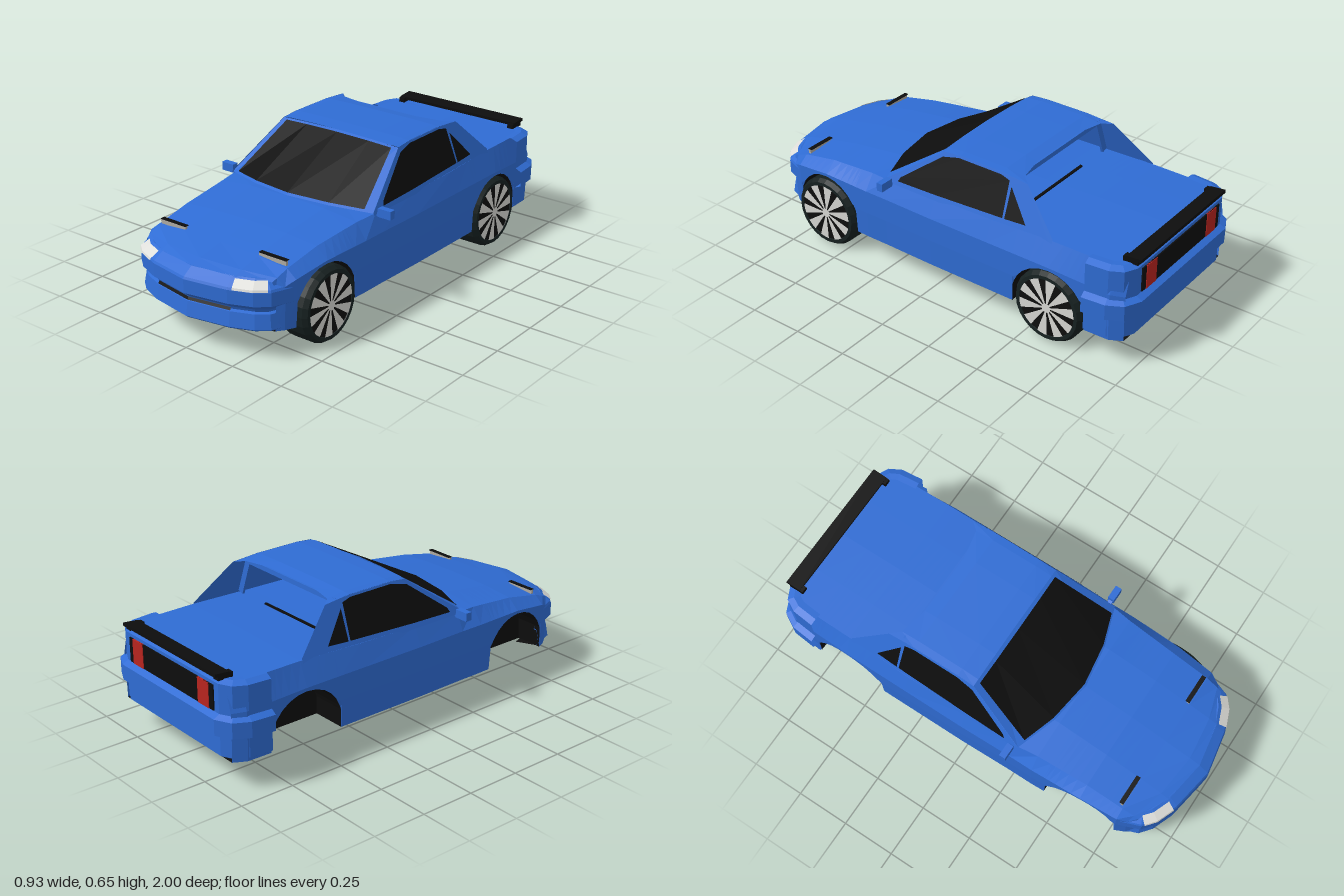
import * as THREE from 'three';

const mat = (name, color) => Object.assign(
  new THREE.MeshStandardMaterial({ color, flatShading: true, side: THREE.DoubleSide }), { name });
const paint = mat('blue paint', 0x2f6cd4), black = mat('black trim', 0x0d0d0d), rubber = mat('tyre rubber', 0x162020);
const silver = mat('rim silver', 0xd6d6d2), lens = mat('headlight lens', 0xdededa), grey = mat('popup lens', 0xaeaaa2);
const red = mat('tail light red', 0xb8241f), amber = mat('indicator amber', 0xc08a45);

const FLOOR = 0.125, ARCH_R = 0.18, AXLE_Y = 0.165, AXLES = [0.6, -0.61];

// surface through rows of [x, y, z] points
function grid(rows) {
  const pos = [], idx = [], n = rows[0].length;
  rows.forEach(r => r.forEach(p => pos.push(...p)));
  for (let i = 0; i < rows.length - 1; i++) for (let j = 0; j < n - 1; j++) {
    const a = i * n + j, b = a + n;
    idx.push(a, b, b + 1, a, b + 1, a + 1);
  }
  const g = new THREE.BufferGeometry();
  g.setAttribute('position', new THREE.Float32BufferAttribute(pos, 3));
  g.setIndex(idx);
  g.computeVertexNormals();
  return g;
}

// profile of [outward offset, y] carried along a plan path of [x, z]
function sweep(path, profile) {
  return grid(path.map(([x, z], i) => {
    const a = path[Math.max(i - 1, 0)], b = path[Math.min(i + 1, path.length - 1)];
    const tx = b[0] - a[0], tz = b[1] - a[1], l = Math.hypot(tx, tz);
    return profile.map(([d, y]) => [x + d * tz / l, y, z - d * tx / l]);
  }));
}
const flip = pts => pts.map(([x, ...r]) => [-x, ...r]).reverse();
const bothHalves = half => [...half.slice().reverse(), ...half.slice(1).map(([x, ...r]) => [-x, ...r])];

// side plate in the sloping plane of the cabin, outline of [z, y]
function sidePlate(outline, s, off) {
  const g = new THREE.ShapeGeometry(new THREE.Shape(outline.map(([z, y]) => new THREE.Vector2(-z, y))));
  const p = g.attributes.position;
  for (let i = 0; i < p.count; i++) {
    const u = p.getX(i), y = p.getY(i);
    p.setXYZ(i, s * (0.387 - (y - 0.45) * 0.38 + off), y, -u);
  }
  g.computeVertexNormals();
  return g;
}

// body stations: z, widest x, its y, shoulder x, shoulder y, centre top y
const STATIONS = [
  [-0.955, 0.385, 0.34, 0.35, 0.458, 0.47], [-0.9, 0.415, 0.345, 0.378, 0.462, 0.47],
  [-0.6, 0.425, 0.36, 0.382, 0.462, 0.47], [-0.3, 0.425, 0.36, 0.388, 0.452, 0.46],
  [0, 0.425, 0.36, 0.388, 0.445, 0.455], [0.25, 0.42, 0.36, 0.385, 0.437, 0.455],
  [0.36, 0.42, 0.36, 0.37, 0.43, 0.452], [0.6, 0.41, 0.358, 0.355, 0.405, 0.422],
  [0.78, 0.395, 0.335, 0.35, 0.37, 0.386], [0.9, 0.375, 0.315, 0.345, 0.349, 0.363],
  [0.95, 0.352, 0.305, 0.34, 0.338, 0.348],
];
function station(z) {
  let i = 0;
  while (i < STATIONS.length - 2 && z > STATIONS[i + 1][0]) i++;
  const a = STATIONS[i], b = STATIONS[i + 1], t = (z - a[0]) / (b[0] - a[0]);
  return a.map((v, k) => v + (b[k] - v) * t);
}
function section(z) {
  const [, wm, ym, ws, ys, yt] = station(z);
  let by = FLOOR;
  for (const c of AXLES) {
    const d = Math.abs(z - c);
    if (d < ARCH_R) by = Math.max(by, AXLE_Y + Math.sqrt(ARCH_R ** 2 - d * d));
    if (d > 0.1754) by = Math.max(FLOOR, by > 0.21 ? by : FLOOR);
  }
  const half = [[0, FLOOR], [0.26, FLOOR], [0.26, by], [wm - 0.004, by], [wm, Math.max(0.25, by)],
    [wm, ym], [ws, ys], [0.2, yt - 0.004], [0, yt]];
  const ramp = THREE.MathUtils.clamp((z - 0.78) / 0.2, 0, 1);
  const full = [...half, ...half.slice(1, -1).reverse().map(([x, y]) => [-x, y]), half[0]];
  return full.map(([x, y]) => [x, y, z - 0.95 * x * x * ramp]);
}

export function createModel() {
  const car = new THREE.Group();
  car.name = 'sportsCar';
  const add = (name, geo, m, parent = car) => {
    const mesh = new THREE.Mesh(geo, m);
    mesh.name = name;
    parent.add(mesh);
    return mesh;
  };
  const box = (name, m, w, h, d, x, y, z) => {
    const b = add(name, new THREE.BoxGeometry(w, h, d), m);
    b.position.set(x, y, z);
    return b;
  };

  // main shell with wheel arches, and black floor with wheel wells
  const zs = STATIONS.map(s => s[0]).filter(z => AXLES.every(c => Math.abs(z - c) > 0.19));
  for (const c of AXLES) {
    zs.push(c - 0.1765, c + 0.1765);
    for (let i = 0; i <= 12; i++) zs.push(c + 0.175 * Math.cos(Math.PI * i / 12));
  }
  const rows = zs.sort((a, b) => b - a).map(section);
  add('bodyShell', grid(rows.map(r => r.slice(3, 14))), paint);
  add('underbody', grid(rows.map(r => [...r.slice(13, 16), ...r.slice(0, 4)])), black);

  // nose and front bumper
  const front = bothHalves([[0, 1], [0.2, 0.965], [0.3, 0.925], [0.355, 0.88], [0.395, 0.775]]);
  add('nose', sweep(front, [[-0.1, 0.34], [-0.05, 0.346], [-0.005, 0.315], [0, 0.305], [0, 0.245], [-0.03, 0.22], [-0.035, 0.208]]), paint);
  add('frontLip', sweep(front, [[-0.035, 0.208], [-0.02, 0.203], [-0.008, 0.14], [-0.02, 0.13]]), paint);
  add('frontLipUnderside', sweep(front, [[-0.02, 0.13], [-0.12, 0.126]]), black);
  const slot = bothHalves([[0, 1], [0.2, 0.965]]);
  add('airSlot', sweep(slot, [[-0.026, 0.219], [-0.02, 0.207]]), black);

  // tail and rear bumper
  const rear = bothHalves([[0, -0.972], [0.33, -0.972], [0.385, -0.945], [0.415, -0.89], [0.425, -0.787]]).reverse();
  add('tail', sweep(rear, [[-0.06, 0.466], [-0.03, 0.468], [0, 0.455], [0, 0.325], [0.028, 0.31], [0.028, 0.24], [0, 0.228], [0, 0.14], [-0.015, 0.13]]), paint);
  add('tailUnderside', sweep(rear, [[-0.015, 0.13], [-0.12, 0.126]]), black);
  box('tailPanel', black, 0.6, 0.11, 0.008, 0, 0.385, -0.974);

  // rear wing
  box('rearWing', black, 0.66, 0.014, 0.07, 0, 0.487, -0.95).rotation.x = 0.1;
  for (const s of [1, -1]) box('wingFoot', black, 0.03, 0.022, 0.07, s * 0.315, 0.476, -0.935);

  // windscreen, from +x to -x, each column running top to base
  const screen = bothHalves([[0, 0.645, 0, 0.457, 0.365, 0], [0.17, 0.642, 0, 0.453, 0.335, 0.2], [0.315, 0.636, 0, 0.442, 0.27, 0.387]]);
  const columns = screen.map(([x, yt, zt, yb, zb, xb]) => [[x, yt, zt], [Math.sign(x) * xb, yb, zb]]);
  add('windscreenFrame', grid(columns), paint);
  const mix = (a, b, t) => a.map((v, k) => v + (b[k] - v) * t);
  const inset = columns.map((c, i) => {
    const n = i === 0 ? columns[1] : i === 4 ? columns[3] : c;
    const e = [mix(c[0], n[0], 0.2), mix(c[1], n[1], 0.2)];
    return [mix(e[0], e[1], 0.04), mix(e[0], e[1], 0.97)].map(([x, y, z]) => [x, y + 0.004, z + 0.003]);
  });
  add('windscreen', grid(inset), black);

  // roof, reaching further back at its edges
  const roofColumn = (x, e) => [[x, 0.641 - 0.007 * e, -0.36 - 0.07 * e], [x, 0.65 - 0.006 * e, -0.3],
    [x, 0.65 - 0.006 * e, -0.08], [x, 0.645 - 0.009 * e, 0]];
  add('roof', grid([[0.315, 1], [0.28, 0.4], [0.15, 0], [-0.15, 0], [-0.28, 0.4], [-0.315, 1]].map(a => roofColumn(...a))), paint);
  box('rearWindowHeader', paint, 0.6, 0.022, 0.012, 0, 0.629, -0.362);
  box('rearWindowSill', black, 0.36, 0.006, 0.012, 0, 0.465, -0.362);

  for (const s of [1, -1]) {
    // cabin side with rear buttress, and its windows
    add('cabinSide', sidePlate([[0.27, 0.435], [0.27, 0.445], [0, 0.637], [-0.08, 0.645], [-0.3, 0.645], [-0.43, 0.634], [-0.6, 0.468], [-0.6, 0.435]], s, 0), paint);
    add('doorWindow', sidePlate([[0.2, 0.455], [0.19, 0.475], [0.0, 0.618], [-0.08, 0.636], [-0.3, 0.636], [-0.345, 0.625], [-0.35, 0.475], [0, 0.46]], s, 0.004), black);
    add('quarterWindow', sidePlate([[-0.36, 0.605], [-0.465, 0.482], [-0.36, 0.475]], s, 0.004), black);
    box('rearPillar', paint, 0.03, 0.17, 0.012, s * 0.325, 0.545, -0.362).rotation.z = s * 0.36;

    // door mirror
    box('mirror', paint, 0.065, 0.038, 0.03, s * 0.432, 0.445, 0.24);
    box('mirrorStalk', paint, 0.035, 0.014, 0.02, s * 0.392, 0.433, 0.24).rotation.z = s * 0.4;

    // lamps
    const side = pts => (s > 0 ? pts : flip(pts));
    add('headlight', sweep(side([[0.345, 0.888], [0.3, 0.925], [0.22, 0.957]]), [[-0.036, 0.342], [0.001, 0.317], [0.004, 0.308]]), lens);
    box('popupLamp', grey, 0.14, 0.02, 0.012, s * 0.27, 0.386, 0.765);
    box('popupLampLid', black, 0.14, 0.003, 0.02, s * 0.27, 0.397, 0.762);
    box('tailLight', red, 0.075, 0.11, 0.009, s * 0.235, 0.385, -0.976);
    add('rearIndicator', sweep(flip(side([[-0.27, -0.972], [-0.33, -0.972], [-0.365, -0.956]])), [[0.005, 0.44], [0.005, 0.33]]), amber);
  }

  // wheels
  const tyreProfile = [[0.0, 0], [0.15, 0], [0.165, 0.02], [0.165, 0.125], [0.152, 0.145], [0.136, 0.145], [0.134, 0.138], [0, 0.138]]
    .map(p => new THREE.Vector2(...p));
  for (const z of AXLES) {
    const wheel = new THREE.Group();
    wheel.name = z > 0 ? 'frontWheel' : 'rearWheel';
    wheel.position.set(0.285, AXLE_Y, z);
    add('tyre', new THREE.LatheGeometry(tyreProfile, 24).rotateZ(-Math.PI / 2), rubber, wheel);
    add('rimBack', new THREE.CircleGeometry(0.135, 30).rotateY(Math.PI / 2).translate(0.141, 0, 0), black, wheel);
    for (let i = 0; i < 10; i++)
      add('spoke', new THREE.CircleGeometry(0.135, 3, i * Math.PI / 5, 0.36).rotateY(Math.PI / 2).translate(0.144, 0, 0), silver, wheel);
    add('hub', new THREE.CircleGeometry(0.022, 12).rotateY(Math.PI / 2).translate(0.146, 0, 0), silver, wheel);
    car.add(wheel);
  }
  return car;
}
